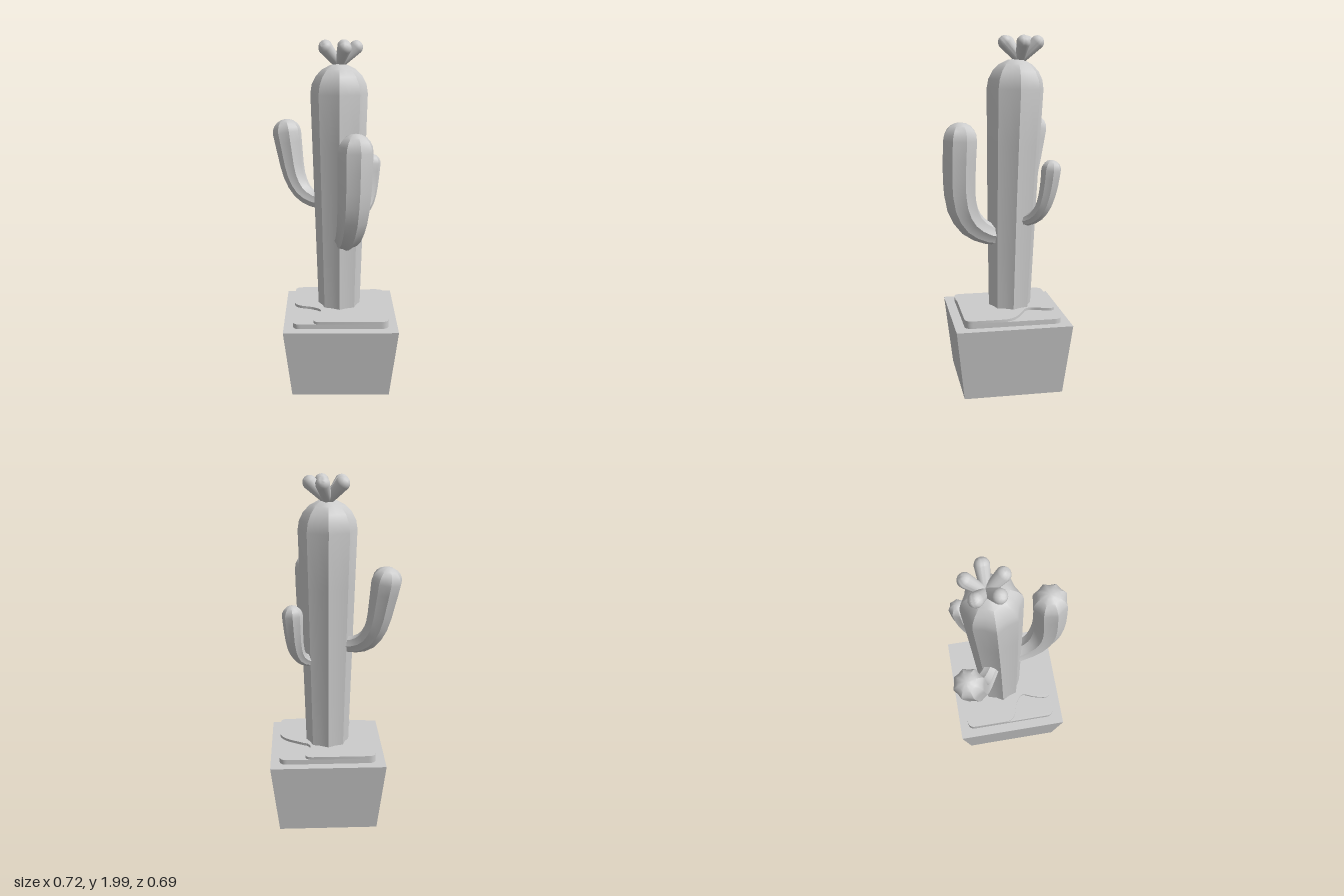
import * as THREE from 'three';
import { toCreasedNormals } from 'three/addons/utils/BufferGeometryUtils.js';

const material = new THREE.MeshStandardMaterial({ color: 0xcccccc });
const thin = new THREE.MeshStandardMaterial({ color: 0xcccccc, flatShading: true, side: THREE.DoubleSide });
const V = (x, y, z) => new THREE.Vector3(x, y, z);

// Ribbed stem with a domed tip; nodes are [x, y, z, radius], side is the fixed horizontal axis of each ring
function ribbedStem(nodes, side, domeHeight, steps, ribs = 8) {
  const curve = new THREE.CatmullRomCurve3(nodes.map(n => V(n[0], n[1], n[2])));
  const rings = [];
  for (let i = 0; i <= steps; i++) {
    const t = i / steps, f = t * (nodes.length - 1);
    const k = Math.min(Math.floor(f), nodes.length - 2);
    const r = THREE.MathUtils.lerp(nodes[k][3], nodes[k + 1][3], f - k);
    rings.push({ c: curve.getPoint(t), t: curve.getTangent(t), r });
  }
  const end = rings[steps];
  for (let i = 1; i <= 5; i++) {
    const a = i / 5 * Math.PI / 2;
    rings.push({
      c: end.c.clone().addScaledVector(end.t, domeHeight * Math.sin(a)),
      t: end.t, r: i === 5 ? 0 : end.r * Math.cos(a)
    });
  }
  const n = ribs * 2, pos = [], index = [];
  for (const { c, t, r } of rings) {
    const normal = side.clone().cross(t).normalize();
    const b = t.clone().cross(normal);
    for (let j = 0; j < n; j++) {
      const a = j / n * Math.PI * 2, q = j % 2 ? r * 0.88 : r;
      const p = c.clone().addScaledVector(normal, q * Math.cos(a)).addScaledVector(b, q * Math.sin(a));
      pos.push(p.x, p.y, p.z);
    }
  }
  const last = rings.length - 2;
  for (let i = 0; i <= last; i++) {
    for (let j = 0; j < n; j++) {
      const a = i * n + j, b = i * n + (j + 1) % n;
      index.push(a, b, a + n);
      if (i < last) index.push(b, b + n, a + n);
    }
  }
  const geo = new THREE.BufferGeometry();
  geo.setAttribute('position', new THREE.Float32BufferAttribute(pos, 3));
  geo.setIndex(index);
  return toCreasedNormals(geo, 0.7);
}

// Flat slab from an outline drawn in x and z
function slab(shape, bottom, top) {
  const geo = new THREE.ExtrudeGeometry(shape, { depth: top - bottom, bevelEnabled: false, curveSegments: 8 });
  geo.rotateX(Math.PI / 2).translate(0, top, 0);
  return toCreasedNormals(geo, 0.6);
}

export function createModel() {
  const group = new THREE.Group();
  const add = (name, geo, mat = material) => {
    const mesh = new THREE.Mesh(geo, mat);
    mesh.name = name;
    group.add(mesh);
    return mesh;
  };

  // Square tapered pot, open underneath
  const potTop = 0.407, cx = 0.033, cz = -0.022;
  const walls = new THREE.CylinderGeometry(0.326 * Math.SQRT2, 0.28 * Math.SQRT2, potTop, 4, 1, true);
  walls.rotateY(Math.PI / 4).translate(cx, potTop / 2, cz);
  add('potWalls', walls, thin);
  const lid = new THREE.PlaneGeometry(0.652, 0.652).rotateX(-Math.PI / 2).translate(cx, potTop, cz);
  add('potTop', lid, thin);

  // Soil: rounded square, then a thin layer with two wavy corners cut away
  const x0 = -0.24, x1 = 0.308, z0 = -0.297, z1 = 0.25, r = 0.045;
  const base = new THREE.Shape();
  base.moveTo(x0 + r, z0);
  base.lineTo(x1 - r, z0);
  base.quadraticCurveTo(x1, z0, x1, z0 + r);
  base.lineTo(x1, z1 - r);
  base.quadraticCurveTo(x1, z1, x1 - r, z1);
  base.lineTo(x0 + r, z1);
  base.quadraticCurveTo(x0, z1, x0, z1 - r);
  base.lineTo(x0, z0 + r);
  base.quadraticCurveTo(x0, z0, x0 + r, z0);
  add('soilBase', slab(base, 0.409, 0.437));

  const wave = pts => pts.map(p => new THREE.Vector2(p[0], p[1]));
  const layer = new THREE.Shape();
  layer.moveTo(x0 + r, z0);
  layer.lineTo(0.125, z0);
  layer.splineThru(wave([[0.15, -0.288], [0.16, -0.265], [0.15, -0.22], [0.13, -0.16],
    [0.145, -0.12], [0.18, -0.1], [0.26, -0.05], [0.295, -0.01], [x1, 0.025]]));
  layer.lineTo(x1, z1 - r);
  layer.quadraticCurveTo(x1, z1, x1 - r, z1);
  layer.lineTo(-0.088, z1);
  layer.splineThru(wave([[-0.112, 0.242], [-0.121, 0.215], [-0.105, 0.145], [-0.081, 0.075],
    [-0.125, 0.032], [-0.2, 0.006], [-0.23, -0.02], [x0, -0.055]]));
  layer.lineTo(x0, z0 + r);
  layer.quadraticCurveTo(x0, z0, x0 + r, z0);
  add('soilLayer', slab(layer, 0.437, 0.452));

  // Trunk, widening and leaning slightly back
  add('trunk', ribbedStem([
    [0.028, 0.43, -0.05, 0.123], [0.027, 1.08, -0.063, 0.143], [0.026, 1.7, -0.08, 0.162]
  ], V(1, 0, 0), 0.165, 4));

  // Arms, bending outward and then up
  const arms = {
    rightArm: { dome: 0.08, nodes: [[-0.03, 1.06, -0.085, 0.045], [-0.12, 1.067, -0.14, 0.048],
      [-0.19, 1.11, -0.185, 0.057], [-0.237, 1.2, -0.215, 0.066], [-0.262, 1.33, -0.236, 0.076],
      [-0.28, 1.45, -0.253, 0.085]] },
    frontArm: { dome: 0.1, nodes: [[0.045, 0.87, 0, 0.055], [0.06, 0.885, 0.08, 0.062],
      [0.08, 0.95, 0.18, 0.077], [0.098, 1.06, 0.236, 0.09], [0.107, 1.22, 0.25, 0.097],
      [0.11, 1.425, 0.243, 0.1]] },
    leftArm: { dome: 0.055, nodes: [[0.06, 0.965, -0.07, 0.03], [0.135, 0.972, -0.13, 0.032],
      [0.185, 1.015, -0.18, 0.039], [0.207, 1.08, -0.212, 0.046], [0.217, 1.18, -0.234, 0.052],
      [0.222, 1.267, -0.243, 0.056]] }
  };
  for (const [name, { nodes, dome }] of Object.entries(arms)) {
    const a = nodes[0], b = nodes[nodes.length - 1];
    const side = V(0, 1, 0).cross(V(b[0] - a[0], 0, b[2] - a[2])).normalize();
    add(name, ribbedStem(nodes, side, dome, 10));
  }

  // Flower of five rounded petals, wider at the tip
  const tipR = 0.039, spread = 0.103, rise = 0.105;
  const length = Math.hypot(spread, rise);
  const profile = [new THREE.Vector2(0, 0), new THREE.Vector2(0.024, 0)];
  for (let i = 0; i <= 6; i++) {
    const a = i / 6 * Math.PI / 2;
    profile.push(new THREE.Vector2(i === 6 ? 0 : tipR * Math.cos(a), length - 0.012 + tipR * Math.sin(a)));
  }
  const petalGeo = toCreasedNormals(new THREE.LatheGeometry(profile, 14), 0.7);
  for (let i = 0; i < 5; i++) {
    const a = i / 5 * Math.PI * 2;
    const petal = add('petal', petalGeo);
    petal.position.set(0.026, 1.856, -0.106);
    petal.quaternion.setFromUnitVectors(V(0, 1, 0),
      V(Math.cos(a) * spread, rise, Math.sin(a) * spread).normalize());
  }
  return group;
}
